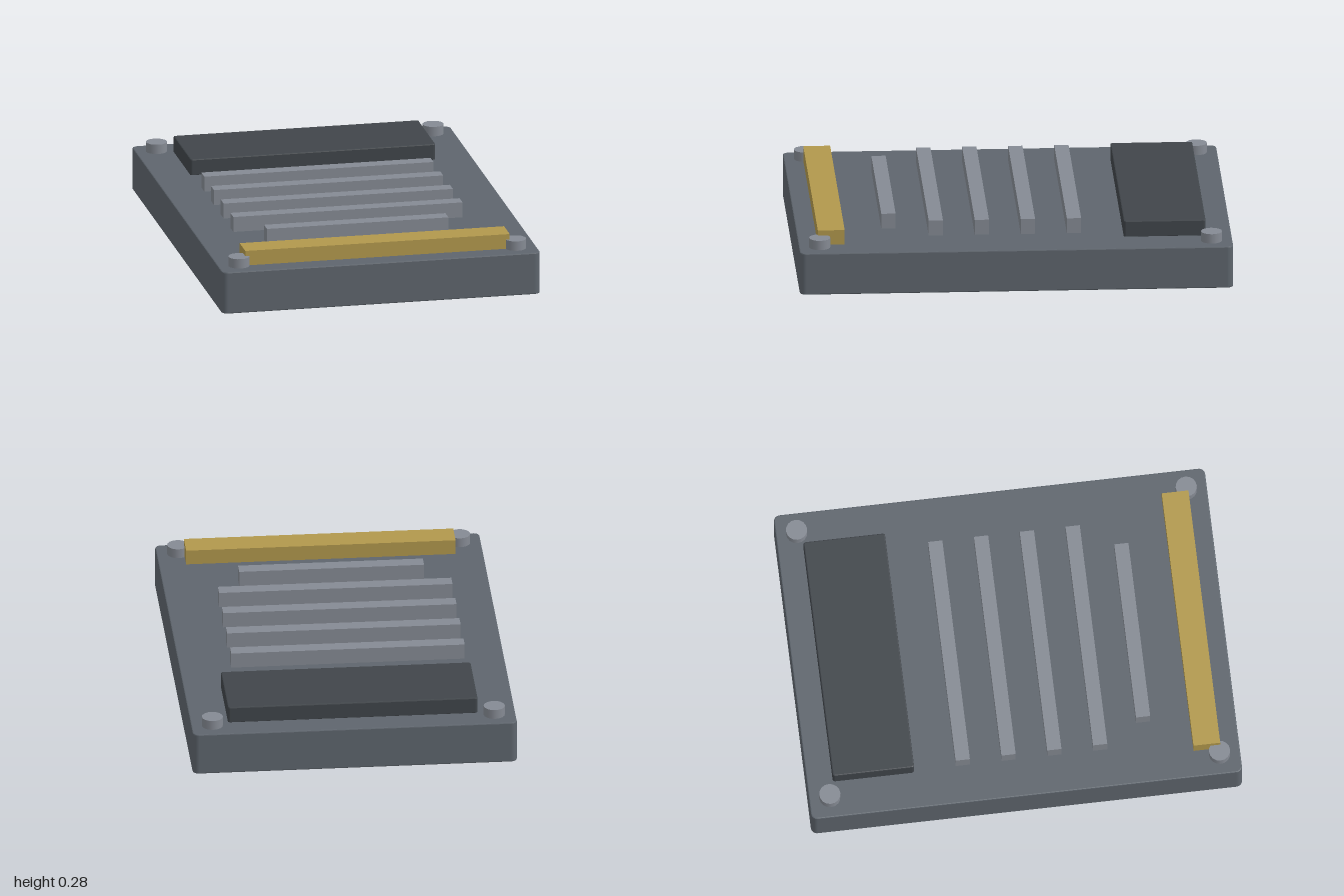
import * as THREE from 'three';

const mat = (name, color) => {
  const m = new THREE.MeshStandardMaterial({ color });
  m.name = name;
  return m;
};

// Horizontal plate with rounded corners (r) and a fine edge bevel (b)
function plate(w, h, d, r, b) {
  const x = w / 2 - b, y = d / 2 - b;
  const s = new THREE.Shape();
  s.moveTo(-x + r, -y);
  s.lineTo(x - r, -y);
  s.absarc(x - r, -y + r, r, -Math.PI / 2, 0, false);
  s.absarc(x - r, y - r, r, 0, Math.PI / 2, false);
  s.absarc(-x + r, y - r, r, Math.PI / 2, Math.PI, false);
  s.absarc(-x + r, -y + r, r, Math.PI, Math.PI * 1.5, false);
  const g = new THREE.ExtrudeGeometry(s, {
    depth: h - 2 * b, bevelEnabled: true, bevelThickness: b, bevelSize: b,
    bevelSegments: 2, curveSegments: 5,
  });
  g.rotateX(-Math.PI / 2);
  g.translate(0, b, 0);
  return g;
}

export function createModel() {
  const group = new THREE.Group();
  const bodyGrey = mat('slate grey', 0x5e656d);
  const metal = mat('light metal', 0x858a93);
  const dark = mat('dark panel grey', 0x40454a);
  const gold = mat('brass', 0xb1984c);

  const add = (name, geometry, material, x, y, z) => {
    const mesh = new THREE.Mesh(geometry, material);
    mesh.name = name;
    mesh.position.set(x, y, z);
    group.add(mesh);
  };

  // Case
  add('case', plate(1.5, 0.2, 2, 0.024, 0.005), bodyGrey, 0, 0, 0);

  // Dark raised panel at the back
  add('backPanel', plate(1.155, 0.08, 0.378, 0.006, 0.005), dark, 0, 0.196, -0.692);

  // Brass contact bar at the front
  add('contactBar', new THREE.BoxGeometry(1.246, 0.072, 0.124), gold, 0, 0.234, 0.849);

  // Five ribs, the front one shorter
  for (let i = 0; i < 5; i++) {
    const w = i === 4 ? 0.855 : 1.08;
    add('rib' + (i + 1), new THREE.BoxGeometry(w, 0.076, 0.066), metal, -0.028, 0.234, -0.277 + i * 0.2125);
  }

  // Corner screws
  for (const sx of [-1, 1]) for (const sz of [-1, 1]) {
    add('screw', new THREE.CylinderGeometry(0.049, 0.049, 0.05, 16), metal, sx * 0.652, 0.22, sz * 0.904);
  }
  return group;
}
